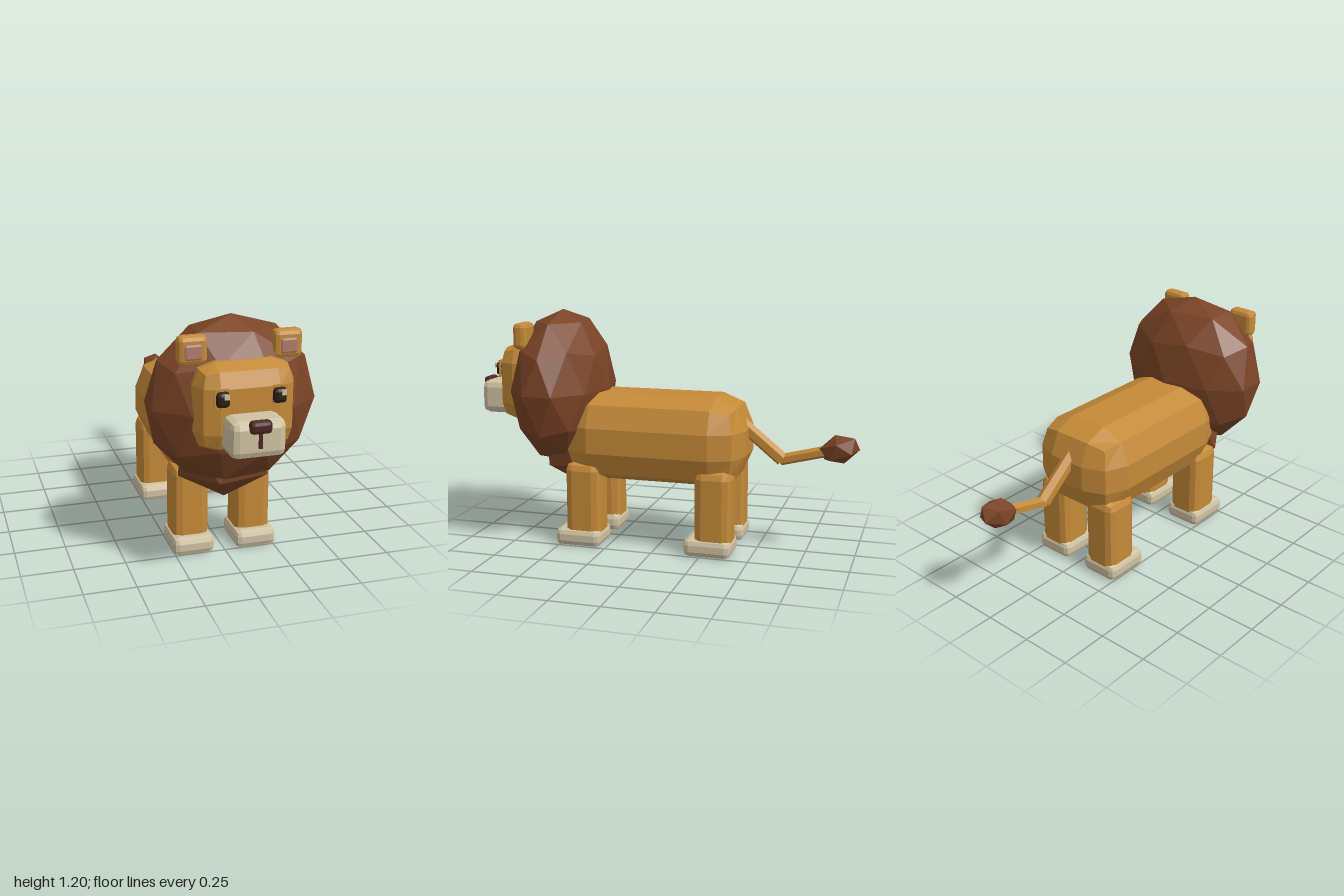
import * as THREE from 'three';
import { RoundedBoxGeometry } from 'three/addons/geometries/RoundedBoxGeometry.js';

const mat = (name, color) => {
  const m = new THREE.MeshStandardMaterial({ color, flatShading: true });
  m.name = name;
  return m;
};

export function createModel() {
  const fur = mat('ochre fur', 0xc48a38);
  const brown = mat('mane brown', 0x7a4426);
  const cream = mat('cream', 0xd0c2a2);
  const pink = mat('ear pink', 0xb07c69);
  const noseBrown = mat('nose brown', 0x4c2620);
  const black = mat('eye black', 0x2a1e11);

  const model = new THREE.Group();
  model.name = 'lion';

  const add = (name, geometry, material, x, y, z) => {
    const mesh = new THREE.Mesh(geometry, material);
    mesh.name = name;
    mesh.position.set(x, y, z);
    model.add(mesh);
    return mesh;
  };
  // Box with faceted bevels
  const block = (name, material, [w, h, d], r, [x, y, z]) =>
    add(name, new RoundedBoxGeometry(w, h, d, 1, r), material, x, y, z);
  // Faceted ball standing on one of its points
  const ball = (name, material, detail, [rx, ry, rz], [x, y, z]) => {
    const g = new THREE.IcosahedronGeometry(1, detail);
    g.rotateZ(-Math.atan(2 / (1 + Math.sqrt(5))));
    g.scale(rx, ry, rz);
    return add(name, g, material, x, y, z);
  };
  // Cylinder between two points in the middle plane
  const rod = (name, material, r, [y0, z0], [y1, z1]) => {
    const g = new THREE.CylinderGeometry(r, r, Math.hypot(y1 - y0, z1 - z0), 6);
    const mesh = add(name, g, material, 0, (y0 + y1) / 2, (z0 + z1) / 2);
    mesh.rotation.x = Math.atan2(z1 - z0, y1 - y0);
    return mesh;
  };

  // Torso
  block('body', fur, [0.52, 0.45, 0.95], 0.16, [0, 0.565, 0.025]);

  // Legs and paws
  for (const side of [-1, 1]) {
    for (const [end, z] of [['front', 0.375], ['back', -0.31]]) {
      block(end + 'Leg', fur, [0.176, 0.43, 0.186], 0.04, [side * 0.158, 0.225, z]);
      block(end + 'Paw', cream, [0.205, 0.09, 0.24], 0.028, [side * 0.158, 0.047, z + 0.022]);
    }
  }

  // Mane and chest tuft
  ball('mane', brown, 1, [0.41, 0.405, 0.25], [0, 0.8, 0.55]);
  ball('chestTuft', brown, 0, [0.257, 0.235, 0.19], [0, 0.515, 0.47]);

  // Head
  block('head', fur, [0.47, 0.41, 0.42], 0.1, [0, 0.835, 0.635]);
  block('muzzle', cream, [0.254, 0.172, 0.22], 0.035, [0, 0.742, 0.866]);
  block('nose', noseBrown, [0.1, 0.06, 0.05], 0.018, [0, 0.806, 0.975]);
  add('mouthLine', new THREE.BoxGeometry(0.016, 0.075, 0.02), noseBrown, 0, 0.747, 0.975);

  for (const side of [-1, 1]) {
    // Eyes with a thin backing plate and a glint
    const x = side * 0.13;
    add('eyePlate', new THREE.BoxGeometry(0.068, 0.088, 0.009), fur, side * 0.134, 0.902, 0.846);
    block('eye', black, [0.062, 0.072, 0.04], 0.018, [x, 0.9, 0.853]);
    add('eyeGlint', new THREE.BoxGeometry(0.022, 0.024, 0.009), cream, x + 0.012, 0.917, 0.875);

    // Ears
    block('ear', fur, [0.136, 0.132, 0.07], 0.022, [side * 0.222, 1.086, 0.68]);
    block('innerEar', pink, [0.084, 0.076, 0.03], 0.012, [side * 0.222, 1.08, 0.706]);
  }

  // Tail with tuft
  rod('tailBase', fur, 0.036, [0.665, -0.39], [0.476, -0.62]);
  rod('tailEnd', fur, 0.029, [0.474, -0.61], [0.54, -0.87]);
  ball('tailTuft', brown, 0, [0.076, 0.075, 0.108], [0, 0.547, -0.905]).rotation.x = 0.33;

  return model;
}
